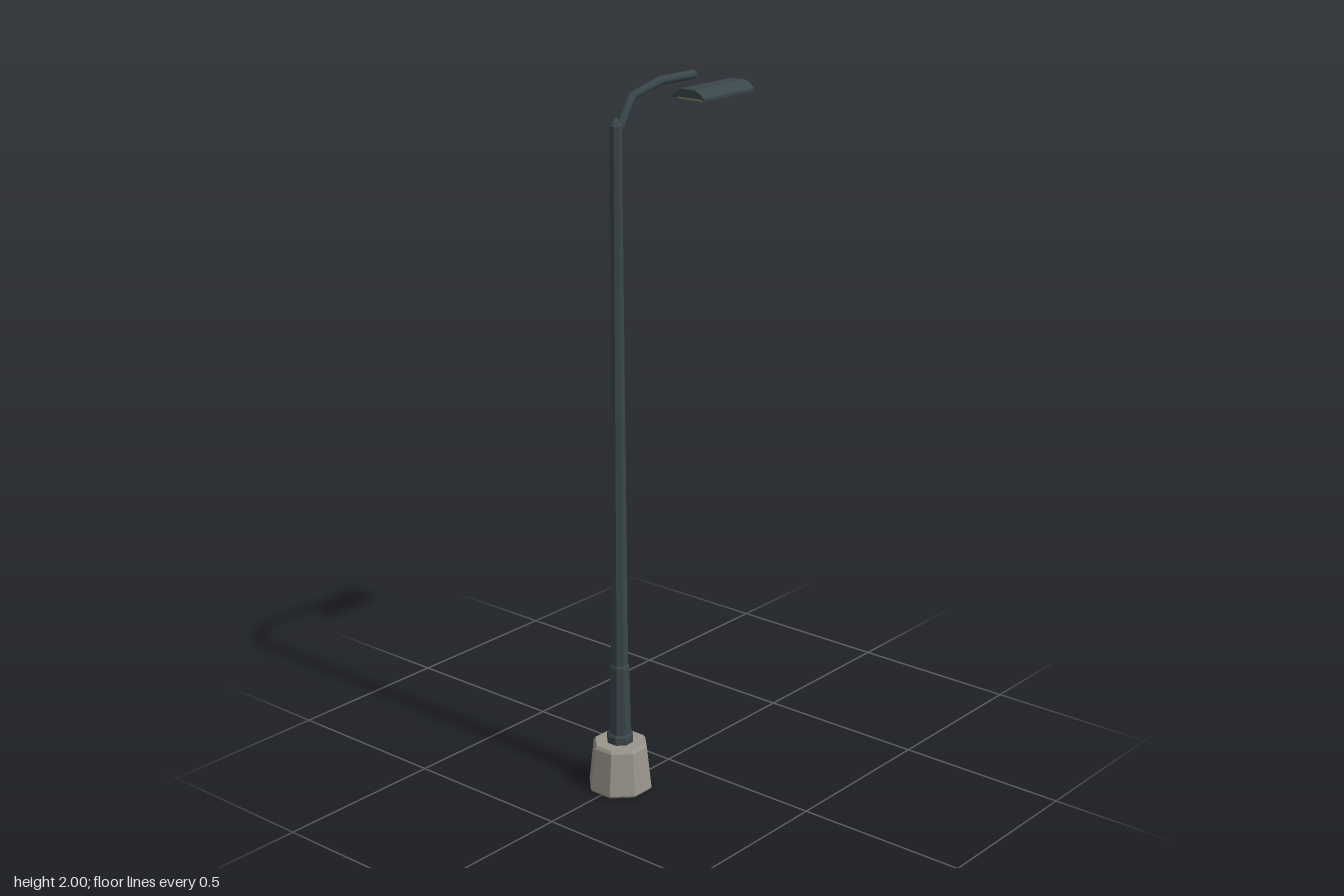
import * as THREE from 'three';

const POLE_Z = 0.213;

const paint = (color, flatShading = true) => {
  const m = new THREE.MeshStandardMaterial({ flatShading });
  m.color.setHex(color);
  return m;
};

const metal = paint(0x39464a);
const smoothMetal = paint(0x39464a, false);
const concrete = paint(0x99958b);
const lensPaint = paint(0x8f8268);

function add(group, name, geometry, material) {
  const mesh = new THREE.Mesh(geometry, material);
  mesh.name = name;
  group.add(mesh);
  return mesh;
}

// Eight-sided turned solid; radii are measured to the flats
function octagon(profile) {
  const k = 1 / Math.cos(Math.PI / 8);
  const points = profile.map(([r, y]) => new THREE.Vector2(r * k, y));
  return new THREE.LatheGeometry(points, 8, Math.PI / 8).translate(0, 0, POLE_Z);
}

// Cross-section in x and y, run along z
function extrudeZ(section, z0, z1, bevel = 0) {
  const shape = new THREE.Shape(section.map(([x, y]) => new THREE.Vector2(x, y)));
  return new THREE.ExtrudeGeometry(shape, {
    depth: z1 - z0 - 2 * bevel, bevelEnabled: bevel > 0, bevelSize: bevel,
    bevelThickness: bevel, bevelOffset: -bevel, bevelSegments: 1,
  }).translate(0, 0, z0 + bevel);
}

export function createModel() {
  const lamp = new THREE.Group();
  lamp.name = 'streetLamp';

  // Tapered footing with chamfered edges
  add(lamp, 'footing', octagon([
    [0, 0], [0.081, 0], [0.086, 0.007], [0.0735, 0.131], [0.068, 0.14], [0, 0.14],
  ]), concrete);

  // Collar where the pole meets the footing
  add(lamp, 'collar', octagon([
    [0, 0.138], [0.033, 0.138], [0.036, 0.143], [0.036, 0.161], [0.032, 0.168], [0, 0.168],
  ]), metal);

  // Thicker lower sleeve, then the long tapering shaft
  add(lamp, 'sleeve', octagon([
    [0, 0.165], [0.03, 0.165], [0.0265, 0.37], [0.023, 0.378], [0, 0.378],
  ]), metal);
  add(lamp, 'shaft', octagon([
    [0, 0.37], [0.0235, 0.37], [0.0155, 1.885], [0.0125, 1.895], [0, 1.895],
  ]), metal);

  // Pointed cap on the shaft
  add(lamp, 'cap', octagon([
    [0, 1.885], [0.0165, 1.885], [0.0165, 1.893], [0.006, 1.91], [0, 1.915],
  ]), metal);

  // Bent arm: one ring at each bend
  const bends = [[1.878, 0.203], [1.962, 0.146], [1.987, 0.035], [1.986, -0.104]]
    .map(([y, z]) => new THREE.Vector3(0, y, z));
  const path = new THREE.CatmullRomCurve3(bends);
  path.getUtoTmapping = (u) => u;
  const arm = new THREE.Group();
  arm.name = 'arm';
  lamp.add(arm);
  add(arm, 'armTube', new THREE.TubeGeometry(path, bends.length - 1, 0.0125, 8), smoothMetal);
  for (const t of [0, 1]) {
    const end = add(arm, 'armEnd', new THREE.CircleGeometry(0.0125, 8), metal);
    end.position.copy(path.getPoint(t));
    const outward = path.getTangent(t).multiplyScalar(t ? 1 : -1);
    end.lookAt(end.position.clone().add(outward));
  }

  // Lamp head: shallow faceted canopy with a lens underneath
  const head = new THREE.Group();
  head.name = 'lampHead';
  lamp.add(head);
  add(head, 'canopy', extrudeZ([
    [-0.055, 1.921], [-0.04, 1.925], [0.04, 1.925], [0.055, 1.921], [0.055, 1.929],
    [0.043, 1.94], [0.024, 1.949], [-0.024, 1.949], [-0.043, 1.94], [-0.055, 1.929],
  ], -0.3, -0.08, 0.002), metal);
  add(head, 'lens', extrudeZ([
    [-0.042, 1.919], [0.042, 1.919], [0.042, 1.93], [-0.042, 1.93],
  ], -0.292, -0.088), lensPaint);

  return lamp;
}
